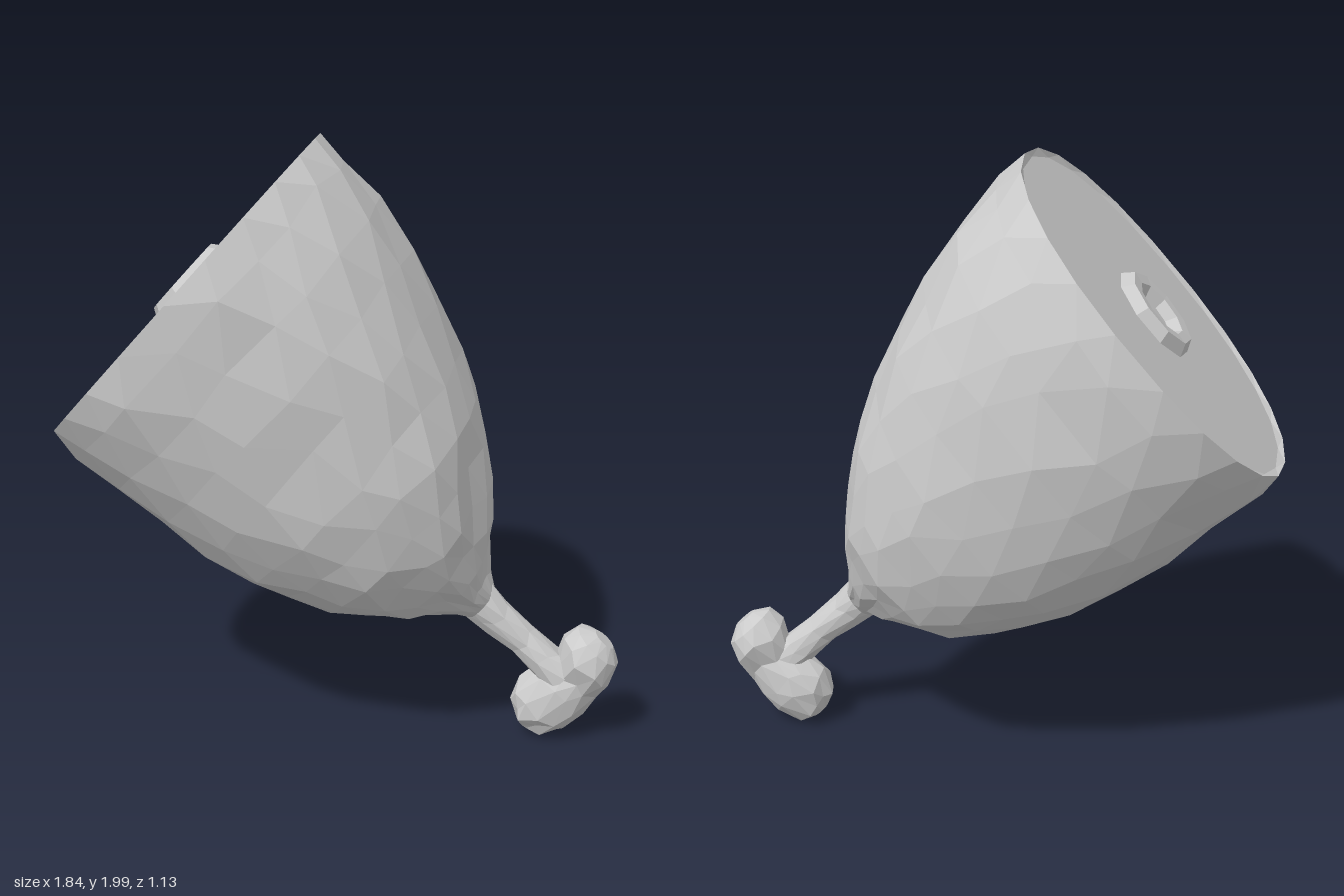
import * as THREE from 'three';

// Seeded random for the hand-carved surface
function makeRandom(seed) {
  return () => {
    seed = (seed * 16807) % 2147483647;
    return seed / 2147483647 - 0.5;
  };
}

// Lofts rings given as [y, xMin, xMax, zMin, zMax], bottom to top, capped at both ends.
// power > 2 squares the outline slightly; jitter roughens the inner rings.
function loft(sections, sides, power, jitter, seed) {
  const random = makeRandom(seed);
  const positions = [], index = [];
  const last = sections.length - 1;
  const bend = (t) => Math.sign(t) * Math.abs(t) ** (2 / power);
  sections.forEach(([y, x0, x1, z0, z1], i) => {
    const j0 = i > 0 && i < last - 1 ? jitter : 0;
    for (let j = 0; j < sides; j++) {
      const angle = ((j + i * 0.5 + (j0 ? random() * 0.4 : 0)) / sides) * Math.PI * 2;
      const swell = 1 + random() * j0;
      positions.push(
        (x0 + x1) / 2 + ((x1 - x0) / 2) * bend(Math.cos(angle)) * swell,
        y + random() * j0 * 0.8,
        (z0 + z1) / 2 + ((z1 - z0) / 2) * bend(Math.sin(angle)) * swell
      );
    }
  });
  for (let i = 0; i < last; i++) {
    for (let j = 0; j < sides; j++) {
      const k = (j + 1) % sides;
      const a = i * sides + j, b = i * sides + k;
      index.push(a, a + sides, b, b, a + sides, b + sides);
    }
  }
  for (const i of [0, last]) {
    const [y, x0, x1, z0, z1] = sections[i];
    const centre = positions.length / 3;
    positions.push((x0 + x1) / 2, y, (z0 + z1) / 2);
    for (let j = 0; j < sides; j++) {
      const a = i * sides + j, b = i * sides + ((j + 1) % sides);
      index.push(centre, ...(i === 0 ? [a, b] : [b, a]));
    }
  }
  const geometry = new THREE.BufferGeometry();
  geometry.setAttribute('position', new THREE.Float32BufferAttribute(positions, 3));
  geometry.setIndex(index);
  geometry.computeVertexNormals();
  return geometry;
}

export function createModel() {
  const model = new THREE.Group();
  model.name = 'meatLeg';
  const material = new THREE.MeshStandardMaterial({ color: 0xcccccc, flatShading: true });

  // The leg is built upright below its cut face, then tilted
  const leg = new THREE.Group();
  leg.name = 'leg';
  leg.rotation.z = 0.852;
  leg.position.set(-0.5, 1.52, 0);
  model.add(leg);

  const add = (name, geometry) => {
    const mesh = new THREE.Mesh(geometry, material);
    mesh.name = name;
    leg.add(mesh);
    return mesh;
  };

  // Meat, from the narrow end up to the lipped cut face
  add('meat', loft([
    [-1.42, -0.21, -0.09, -0.08, 0.05],
    [-1.37, -0.23, -0.06, -0.15, 0.11],
    [-1.30, -0.29, 0.02, -0.24, 0.18],
    [-1.23, -0.36, 0.10, -0.32, 0.25],
    [-1.15, -0.43, 0.18, -0.40, 0.32],
    [-1.05, -0.50, 0.26, -0.45, 0.37],
    [-0.93, -0.55, 0.35, -0.49, 0.42],
    [-0.80, -0.595, 0.42, -0.52, 0.455],
    [-0.63, -0.636, 0.495, -0.545, 0.49],
    [-0.46, -0.645, 0.56, -0.56, 0.52],
    [-0.28, -0.648, 0.61, -0.565, 0.545],
    [-0.11, -0.652, 0.63, -0.56, 0.565],
    [0, -0.637, 0.637, -0.55, 0.565],
    [-0.012, -0.615, 0.615, -0.53, 0.545],
  ], 22, 2.2, 0.035, 41));

  // Low ring of bone in the cut face
  const boneProfile = [[0.17, -0.02], [0.14, 0.025], [0.1, 0.022], [0.07, -0.02]];
  const boneRing = add('cutBone', new THREE.LatheGeometry(
    boneProfile.map(([r, y]) => new THREE.Vector2(r, y)), 9));
  boneRing.position.set(0, 0, -0.02);
  boneRing.material = material.clone();
  boneRing.material.side = THREE.DoubleSide;

  // Shank bone
  add('shank', loft([
    [-1.78, -0.23, -0.08, -0.09, 0.06],
    [-1.70, -0.215, -0.095, -0.08, 0.05],
    [-1.60, -0.205, -0.095, -0.07, 0.04],
    [-1.48, -0.215, -0.09, -0.07, 0.045],
    [-1.38, -0.225, -0.075, -0.085, 0.055],
    [-1.25, -0.24, -0.06, -0.1, 0.07],
  ], 10, 2, 0.06, 7));

  // Two-lobed knuckle lying across the end of the shank
  const knuckle = add('knuckle', loft([
    [-0.375, 1.78, 1.84, -0.05, 0.01],
    [-0.345, 1.72, 1.89, -0.09, 0.05],
    [-0.28, 1.69, 1.92, -0.115, 0.07],
    [-0.20, 1.70, 1.925, -0.115, 0.07],
    [-0.13, 1.72, 1.915, -0.10, 0.06],
    [-0.05, 1.69, 1.91, -0.13, 0.09],
    [0.01, 1.70, 1.88, -0.11, 0.07],
    [0.04, 1.75, 1.83, -0.05, 0.02],
  ], 12, 2, 0.05, 19));
  knuckle.rotation.z = -Math.PI / 2;

  return model;
}
